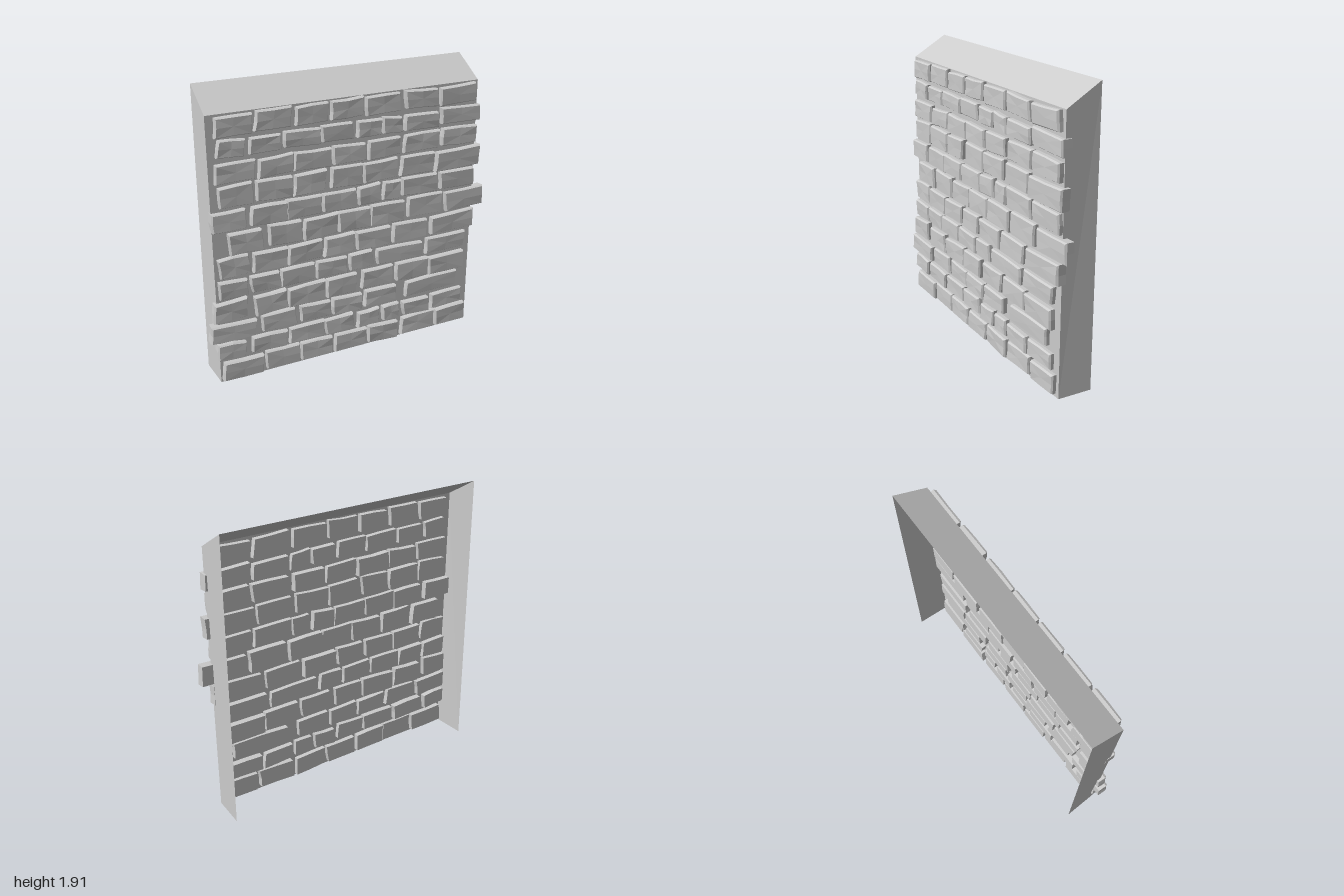
import * as THREE from 'three';

const stoneMat = new THREE.MeshStandardMaterial({ color: 0xcccccc, flatShading: true });
const shellMat = new THREE.MeshStandardMaterial({ color: 0xcccccc, flatShading: true, side: THREE.DoubleSide });

// small seeded generator, returns -1..1
let seed = 7;
function jitter(amount) {
  seed = (seed * 16807) % 2147483647;
  return (seed / 2147483647 * 2 - 1) * amount;
}

function geometryFrom(points, index) {
  const g = new THREE.BufferGeometry();
  g.setAttribute('position', new THREE.Float32BufferAttribute(points.flat(), 3));
  g.setIndex(index);
  g.computeVertexNormals();
  return g;
}

function quad(name, a, b, c, d) {
  const mesh = new THREE.Mesh(geometryFrom([a, b, c, d], [0, 1, 2, 0, 2, 3]), shellMat);
  mesh.name = name;
  return mesh;
}

// irregular stone: three outline loops (back, shoulder, inset face) with capped ends
function stone(x0, x1, y0, y1) {
  const cx = (x0 + x1) / 2, cy = (y0 + y1) / 2;
  const w = (x1 - x0) / 2, h = (y1 - y0) / 2;
  const lean = jitter(0.006), tilt = jitter(0.006);
  const outline = [[-1, -1], [0, -1], [1, -1], [1, 0], [1, 1], [0, 1], [-1, 1], [-1, 0]].map(([u, v]) => [
    u * (w - 0.005) + v * lean + jitter(0.004),
    v * (h - 0.005) + u * tilt + jitter(0.004),
  ]);
  const back = 0.057 + jitter(0.008), face = 0.127 + jitter(0.004);
  const n = outline.length, points = [], index = [];
  for (const [z, inset] of [[back, 0.003], [face - 0.012, 0], [face, 0.008]]) {
    for (const [x, y] of outline) {
      points.push([cx + x * (1 - inset / w), cy + y * (1 - inset / h), z + (z === face ? jitter(0.003) : 0)]);
    }
  }
  for (let r = 0; r < 2; r++) {
    for (let i = 0; i < n; i++) {
      const a = r * n + i, b = r * n + (i + 1) % n;
      index.push(a, b, b + n, a, b + n, a + n);
    }
  }
  points.push([cx, cy, back], [cx, cy, face]);
  for (let i = 0; i < n; i++) {
    const j = (i + 1) % n;
    index.push(3 * n, j, i, 3 * n + 1, 2 * n + i, 2 * n + j);
  }
  const mesh = new THREE.Mesh(geometryFrom(points, index), stoneMat);
  mesh.name = 'stone';
  return mesh;
}

// one course of stones; spans holds left and right ends in pairs
function course(y0, y1, spans) {
  const group = new THREE.Group();
  group.name = 'stoneCourse';
  for (let i = 0; i < spans.length; i += 2) {
    const dy = jitter(0.005);
    group.add(stone(spans[i], spans[i + 1], y0 + dy, y1 + dy));
  }
  return group;
}

export function createModel() {
  const model = new THREE.Group();
  model.name = 'stoneWall';

  // backing shell, open at the back and underneath
  const f = 0.09, b = -0.14, yf = 1.78, yb = 1.915;
  const fl = -0.94, fr = 0.92, bl = -0.95, br = 0.93;
  model.add(
    quad('frontPanel', [fl, 0, f], [fr, 0, f], [fr, yf, f], [fl, yf, f]),
    quad('slopedTop', [fl, yf, f], [fr, yf, f], [br - 0.01, yb, b], [bl + 0.01, yb, b]),
    quad('leftSide', [fr, 0, f], [br, 0, b], [br - 0.01, yb, b], [fr, yf, f]),
    quad('rightSide', [bl, 0, b], [fl, 0, f], [fl, yf, f], [bl + 0.01, yb, b]),
  );

  // stone courses, bottom to top
  model.add(
    course(0.015, 0.155, [-.93, -.65, -.64, -.39, -.39, -.15, -.14, .10, .11, .35, .37, .64, .65, .90]),
    course(0.165, 0.285, [-.96, -.76, -.73, -.48, -.47, -.21, -.21, .01, .03, .20, .22, .36, .38, .60, .61, .87]),
    course(0.305, 0.43, [-1, -.69, -.66, -.41, -.39, -.16, -.16, .07, .08, .33, .40, .82]),
    course(0.44, 0.585, [-.97, -.74, -.70, -.47, -.47, -.20, -.20, .03, .06, .30, .32, .58, .58, .87]),
    course(0.60, 0.725, [-.93, -.73, -.72, -.51, -.52, -.27, -.27, -.04, -.03, .15, .17, .53, .55, .87]),
    course(0.74, 0.88, [-.92, -.71, -.70, -.46, -.46, -.22, -.21, .01, .02, .28, .29, .56, .58, .93]),
    course(0.895, 1.045, [-.85, -.62, -.59, -.36, -.35, -.11, -.11, .13, .12, .38, .40, .67, .69, 1]),
    course(1.055, 1.19, [-.95, -.72, -.70, -.45, -.47, -.22, -.22, .03, .03, .20, .21, .35, .35, .63, .64, .92]),
    course(1.20, 1.345, [-.90, -.67, -.66, -.41, -.41, -.19, -.16, .07, .07, .32, .34, .60, .60, .95]),
    course(1.36, 1.49, [-.91, -.65, -.64, -.40, -.41, -.15, -.15, .09, .10, .34, .36, .63, .64, .92]),
    course(1.51, 1.625, [-.89, -.71, -.69, -.48, -.47, -.22, -.22, 0, .02, .20, .20, .35, .36, .62, .63, .94]),
    course(1.645, 1.775, [-.90, -.66, -.65, -.41, -.39, -.17, -.16, .07, .08, .33, .36, .61, .62, .90]),
  );
  return model;
}
